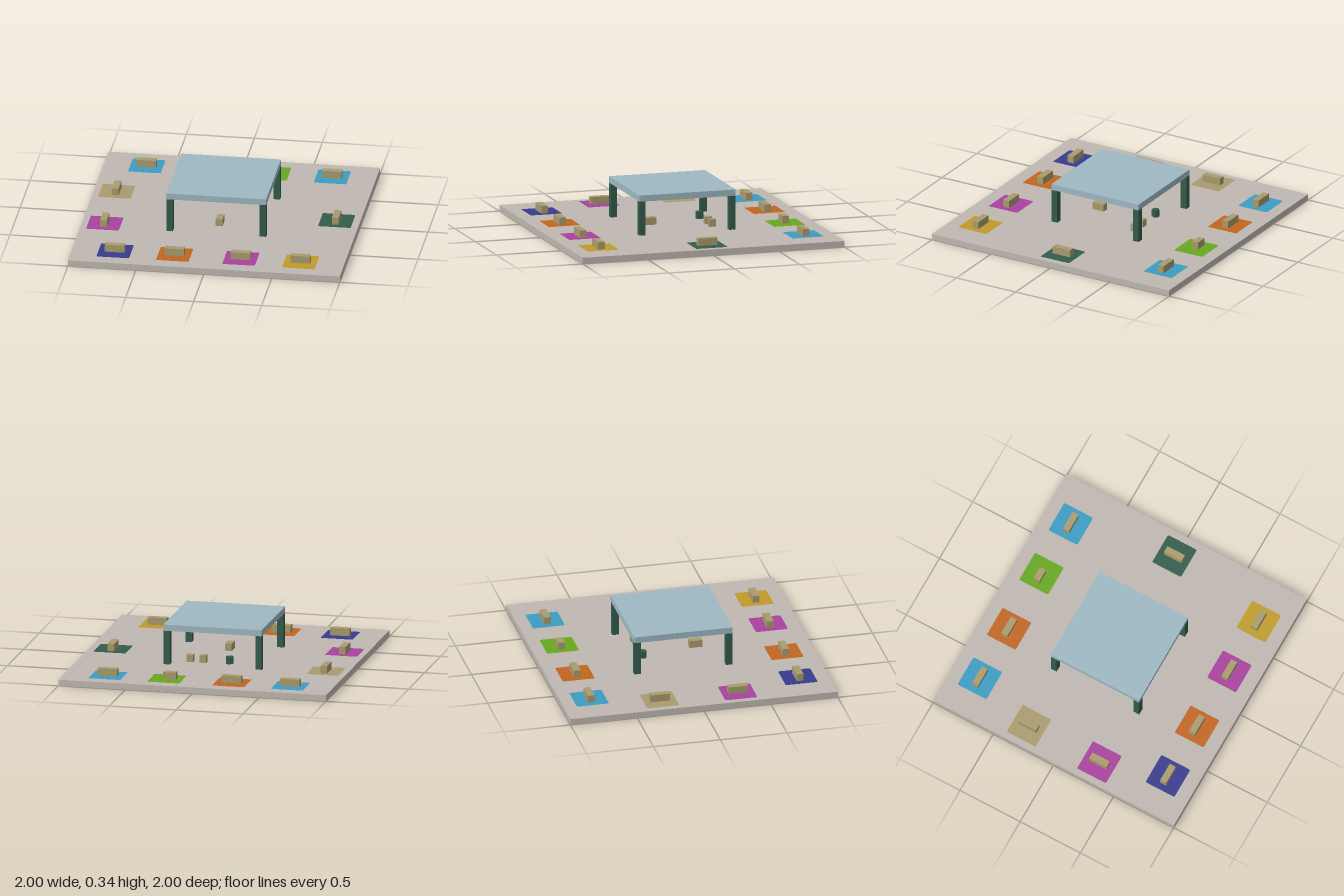
import * as THREE from 'three';

const mat = (name, color) => {
  const m = new THREE.MeshStandardMaterial({ color });
  m.name = name;
  return m;
};

// Rounded square outline in plan; z is flipped because the shape is laid flat later
function padOutline(Type, x, z, half = 0.12, r = 0.012) {
  const p = new Type(), y = -z;
  p.moveTo(x - half + r, y - half);
  p.lineTo(x + half - r, y - half);
  p.quadraticCurveTo(x + half, y - half, x + half, y - half + r);
  p.lineTo(x + half, y + half - r);
  p.quadraticCurveTo(x + half, y + half, x + half - r, y + half);
  p.lineTo(x - half + r, y + half);
  p.quadraticCurveTo(x - half, y + half, x - half, y + half - r);
  p.lineTo(x - half, y - half + r);
  p.quadraticCurveTo(x - half, y - half, x - half + r, y - half);
  return p;
}

export function createModel() {
  const group = new THREE.Group();
  group.name = 'boardWithTable';

  const c = {
    stone: mat('stone', 0xc0b9b2),
    glass: mat('paleBlue', 0x9fb8c2),
    tan: mat('tan', 0xaa9c6e),
    green: mat('darkGreen', 0x335c4b),
    sky: mat('skyBlue', 0x3b9dc3),
    orange: mat('orange', 0xc26620),
    lime: mat('lime', 0x67a81f),
    magenta: mat('magenta', 0xa8429f),
    navy: mat('navy', 0x393b8e),
    yellow: mat('yellow', 0xc09c2b),
  };
  const FLOOR = 0.046, TOP = 0.1;

  const add = (name, geometry, material) => {
    const mesh = new THREE.Mesh(geometry, material);
    mesh.name = name;
    group.add(mesh);
    return mesh;
  };
  const box = (name, material, x, z, w, d, y0 = FLOOR, y1 = TOP) =>
    add(name, new THREE.BoxGeometry(w, y1 - y0, d), material).position.set(x, (y0 + y1) / 2, z);
  const slab = (name, shape, material) => {
    const g = new THREE.ExtrudeGeometry(shape, { depth: FLOOR, bevelEnabled: false, curveSegments: 3 });
    add(name, g.rotateX(-Math.PI / 2), material);
  };

  // Pads: colour, x, z, and whether the block on it runs along z
  const pads = [
    ['sky', -0.685, -0.785], ['orange', -0.247, -0.785], ['lime', 0.24, -0.785], ['sky', 0.68, -0.785],
    ['navy', -0.685, 0.777], ['orange', -0.247, 0.777], ['magenta', 0.24, 0.777], ['yellow', 0.68, 0.777],
    ['tan', -0.833, -0.295, true], ['magenta', -0.833, 0.29, true], ['green', 0.828, -0.005, true],
  ];

  // Base board with openings for the inlaid pads
  const board = new THREE.Shape([[-1, -1], [1, -1], [1, 1], [-1, 1]].map(([x, y]) => new THREE.Vector2(x, y)));
  for (const [, x, z] of pads) board.holes.push(padOutline(THREE.Path, x, z));
  slab('baseBoard', board, c.stone);

  // Inlaid pads, each carrying a block
  for (const [colour, x, z, turned] of pads) {
    slab(colour + 'Pad', padOutline(THREE.Shape, x, z), c[colour]);
    const length = colour === 'lime' ? 0.095 : 0.145;
    const bx = colour === 'lime' ? x - 0.025 : x;
    box('padBlock', c.tan, bx, z, turned ? 0.05 : length, turned ? length : 0.05);
  }

  // Table in the middle
  box('tableTop', c.glass, -0.003, -0.003, 0.735, 0.735, 0.297, 0.343);
  for (const sx of [-1, 1])
    for (const sz of [-1, 1])
      box('tableLeg', c.green, sx * 0.343 - 0.003, sz * 0.343 - 0.003, 0.048, 0.048, FLOOR, 0.297);

  // Small blocks beneath the table
  box('frontSmallBlock', c.tan, -0.003, 0.173, 0.05, 0.095);
  box('backSmallBlock', c.tan, 0.095, -0.242, 0.05, 0.048);
  box('backSmallBlock', c.tan, 0.193, -0.242, 0.05, 0.048);

  // Small green piece with a cross-shaped plan
  const a = 0.025, b = 0.014;
  const cross = new THREE.Shape([
    [-b, -a], [b, -a], [b, -b], [a, -b], [a, b], [b, b],
    [b, a], [-b, a], [-b, b], [-a, b], [-a, -b], [-b, -b],
  ].map(([x, y]) => new THREE.Vector2(x, y)));
  const piece = new THREE.ExtrudeGeometry(cross, { depth: TOP - FLOOR, bevelEnabled: false });
  add('greenPiece', piece.rotateX(-Math.PI / 2), c.green).position.set(-0.1, FLOOR, -0.242);

  return group;
}
